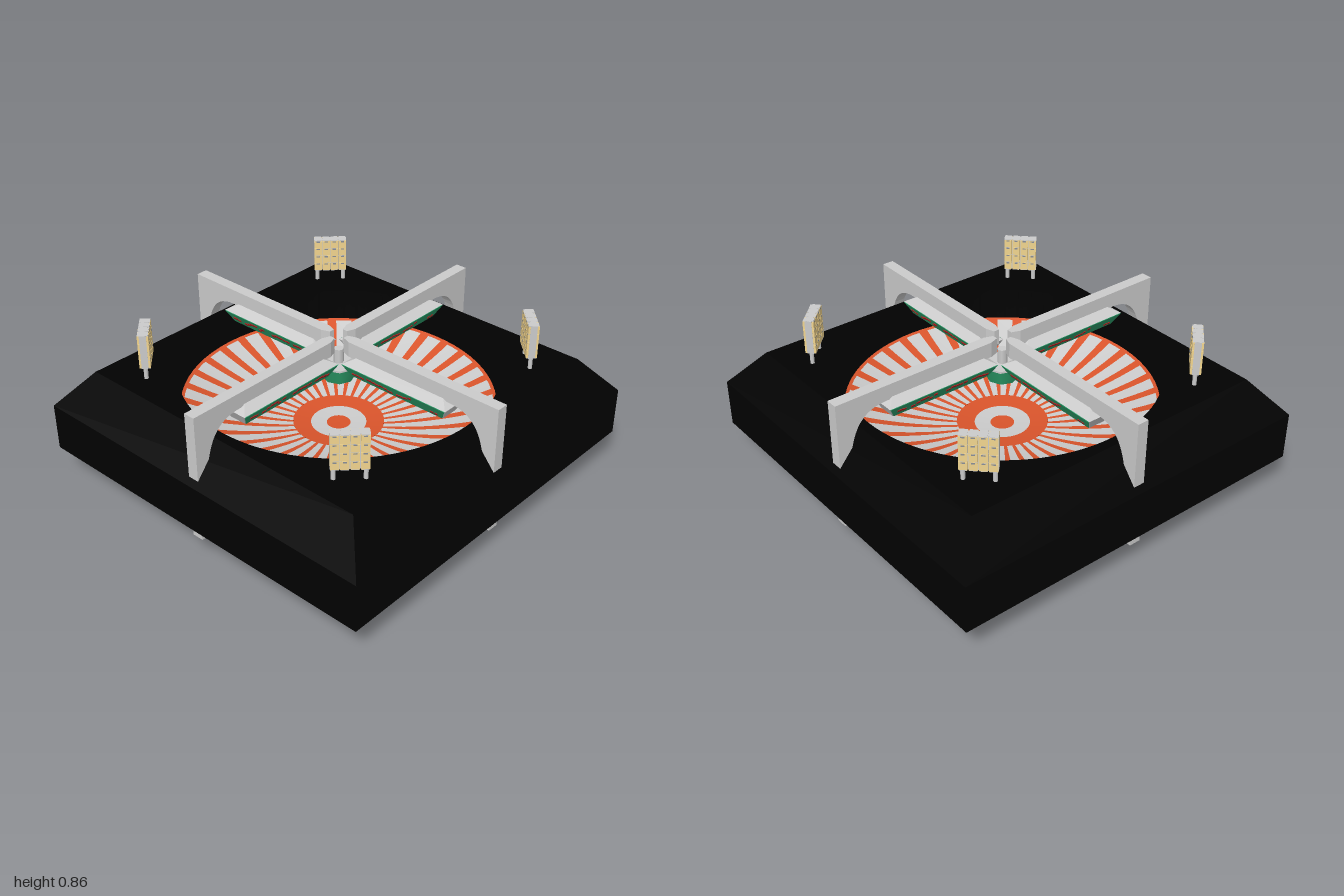
import * as THREE from 'three';
import { mergeGeometries } from 'three/addons/utils/BufferGeometryUtils.js';
import { ConvexGeometry } from 'three/addons/geometries/ConvexGeometry.js';

const mat = (color, double = false) => new THREE.MeshStandardMaterial({
  color, side: double ? THREE.DoubleSide : THREE.FrontSide });
const grey = mat(0xcccccc), greyThin = mat(0xcccccc, true);
const black = mat(0x010101, true), orange = mat(0xd9542b, true);
const green = mat(0x2c9e6a), red = mat(0xb02222), yellow = mat(0xf2d58f), slate = mat(0x8a8f98);

function add(parent, name, geometry, material) {
  const mesh = new THREE.Mesh(geometry, material);
  mesh.name = name;
  parent.add(mesh);
  return mesh;
}
const box = (w, h, d, x, y, z) => new THREE.BoxGeometry(w, h, d).translate(x, y, z);
const tube = (rTop, rBottom, y0, y1, sides = 16) =>
  new THREE.CylinderGeometry(rTop, rBottom, y1 - y0, sides).translate(0, (y0 + y1) / 2, 0);

// Square black plinth with bevelled shoulders and a round opening
function makeBase() {
  const base = new THREE.Group();
  base.name = 'base';
  const skirt = (half0, half1, y0, y1) => {
    const g = new THREE.CylinderGeometry(half1 * Math.SQRT2, half0 * Math.SQRT2, y1 - y0, 4, 1, true);
    const flat = g.rotateY(Math.PI / 4).translate(0, (y0 + y1) / 2, 0).toNonIndexed();
    flat.computeVertexNormals();
    return flat;
  };
  add(base, 'baseSides', skirt(1, 1, 0.18, 0.43), black);
  add(base, 'baseShoulder', skirt(1, 0.84, 0.43, 0.62), black);
  const top = new THREE.Shape([[-1, -1], [1, -1], [1, 1], [-1, 1]]
    .map(([x, y]) => new THREE.Vector2(x * 0.84, y * 0.84)));
  top.holes.push(new THREE.Path().absarc(0, 0, 0.79, 0, Math.PI * 2, true));
  add(base, 'baseTop', new THREE.ShapeGeometry(top, 48).rotateX(-Math.PI / 2).translate(0, 0.62, 0), black);
  add(base, 'baseUnderside', new THREE.PlaneGeometry(2, 2).rotateX(Math.PI / 2).translate(0, 0.18, 0), black);
  add(base, 'pitWall', new THREE.LatheGeometry(
    [[0.79, 0.62], [0.79, 0.44], [0.78, 0.44]].map(p => new THREE.Vector2(...p)), 96), black);
  const ribs = [];
  for (let i = 0; i < 72; i++)
    ribs.push(box(0.006, 0.16, 0.012, 0.788, 0.53, 0).rotateY(i * Math.PI / 36));
  add(base, 'pitRibs', mergeGeometries(ribs), black);
  return base;
}

// Rounded bowl with a sunburst of rays, an edge band and rings in the middle
function makeDish() {
  const dish = new THREE.Group();
  dish.name = 'dish';
  const height = r => 0.285 + 0.165 * (r / 0.785) ** 2;
  const patch = (r0, r1, start = 0, span = Math.PI * 2, segments = 72) => {
    const steps = Math.ceil((r1 - r0) / 0.06), profile = [];
    for (let i = 0; i <= steps; i++) {
      const r = r1 + (r0 - r1) * i / steps;
      profile.push(new THREE.Vector2(r, height(r)));
    }
    return new THREE.LatheGeometry(profile, segments, start, span);
  };
  const orangeParts = [patch(0.77, 0.785), patch(0.14, 0.23), patch(0, 0.06)];
  const paleParts = [patch(0.06, 0.14)];
  const count = 36, step = Math.PI * 2 / count, ray = step * 0.37;
  for (let i = 0; i < count; i++) {
    const a = (i + 0.5) * step;
    orangeParts.push(patch(0.23, 0.77, a - ray / 2, ray, 2));
    paleParts.push(patch(0.23, 0.77, a + ray / 2, step - ray, 2));
  }
  add(dish, 'orangeRays', mergeGeometries(orangeParts), orange);
  add(dish, 'paleRays', mergeGeometries(paleParts), greyThin);
  return dish;
}

// One arm along +x: arched beam with its leg, and a hanging display housing
function makeArm() {
  const arm = new THREE.Group();
  arm.name = 'arm';
  const s = new THREE.Shape();
  s.moveTo(0.09, 0.8);
  s.lineTo(0.975, 0.8);
  s.lineTo(0.975, 0.125);
  s.lineTo(0.925, 0.125);
  s.lineTo(0.915, 0.48);
  s.bezierCurveTo(0.89, 0.64, 0.84, 0.72, 0.7, 0.72);
  s.lineTo(0.09, 0.72);
  s.closePath();
  add(arm, 'archedBeam', new THREE.ExtrudeGeometry(s, { depth: 0.06, bevelEnabled: false, curveSegments: 12 })
    .translate(0, 0, -0.03), grey);
  const prism = levels => new ConvexGeometry(levels.flatMap(([y, x0, x1, h0, h1 = h0]) => [
    new THREE.Vector3(x0, y, -h0), new THREE.Vector3(x0, y, h0),
    new THREE.Vector3(x1, y, -h1), new THREE.Vector3(x1, y, h1)]));
  add(arm, 'taperedTip', prism([[0.72, 0.045, 0.09, 0.014, 0.03], [0.8, 0.045, 0.09, 0.014, 0.03]]), grey);
  // Housing: hipped lid over inward-sloping sides
  add(arm, 'displayHousing', prism([[0.635, 0.125, 0.685, 0.045], [0.7, 0.09, 0.72, 0.08],
    [0.73, 0.14, 0.67, 0.03]]), grey);
  const screen = new THREE.Shape([[-0.277, -0.036], [0.277, -0.036], [0.312, 0.036], [-0.312, 0.036]]
    .map(p => new THREE.Vector2(...p)));
  let seed = 7;
  const random = () => (seed = (seed * 16807) % 2147483647) / 2147483647;
  for (const side of [-1, 1]) {
    const panel = new THREE.Group();
    panel.name = 'displayPanel';
    add(panel, 'greenScreen', new THREE.ExtrudeGeometry(screen, { depth: 0.004, bevelEnabled: false })
      .translate(0, 0, -0.002), green);
    const dashes = [];
    for (let x = -0.25; x < 0.25; x += 0.025)
      if (random() < 0.8)
        dashes.push(box(0.014 + 0.018 * random(), 0.013, 0.004, x, (random() - 0.5) * 0.03, side * 0.003));
    add(panel, 'redDashes', mergeGeometries(dashes), red);
    panel.position.set(0.405, 0.6675, side * 0.0635);
    panel.rotation.x = side * Math.atan2(0.035, 0.065);
    arm.add(panel);
  }
  return arm;
}

// Small eight-sided display hub in the middle
function makeHub() {
  const hub = new THREE.Group();
  hub.name = 'centreHub';
  add(hub, 'hubScreen', tube(0.1, 0.08, 0.56, 0.635, 8), green);
  add(hub, 'hubRim', tube(0.1, 0.1, 0.635, 0.645, 8), grey);
  add(hub, 'hubPost', tube(0.025, 0.025, 0.645, 0.72, 8), grey);
  return hub;
}

// Corner floodlight on two posts; the lamp grid shows on both faces
function makeFloodlight() {
  const light = new THREE.Group();
  light.name = 'floodlight';
  const posts = [-0.071, 0.071].map(x => tube(0.011, 0.011, 0, 0.7, 10).translate(x, 0, 0));
  add(light, 'posts', mergeGeometries(posts), grey);
  const columns = [box(0.174, 0.18, 0.034, 0, 0.772, 0)], lamps = [], bars = [];
  for (let c = 0; c < 4; c++) {
    const x = (c - 1.5) * 0.044;
    columns.push(box(0.036, 0.181, 0.052, x, 0.772, 0));
    for (let r = 0; r < 4; r++)
      for (const z of [-0.022, 0.022]) {
        const y = 0.772 + (r - 1.5) * 0.044;
        lamps.push(box(0.04, 0.042, 0.01, x, y, z));
        bars.push(box(0.018, 0.007, 0.011, x, y + 0.016, z));
      }
  }
  add(light, 'lampFrame', mergeGeometries(columns), grey);
  add(light, 'lamps', mergeGeometries(lamps), yellow);
  add(light, 'lampBars', mergeGeometries(bars), slate);
  return light;
}

export function createModel() {
  const model = new THREE.Group();
  model.name = 'arena';
  model.add(makeBase(), makeDish(), makeHub());
  for (let i = 0; i < 4; i++) {
    const arm = makeArm();
    arm.rotation.y = i * Math.PI / 2;
    model.add(arm);
    const light = makeFloodlight();
    const a = Math.PI / 4 + i * Math.PI / 2;
    light.position.set(Math.sin(a) * 0.935, 0, Math.cos(a) * 0.935);
    light.rotation.y = a;
    model.add(light);
  }
  return model;
}
